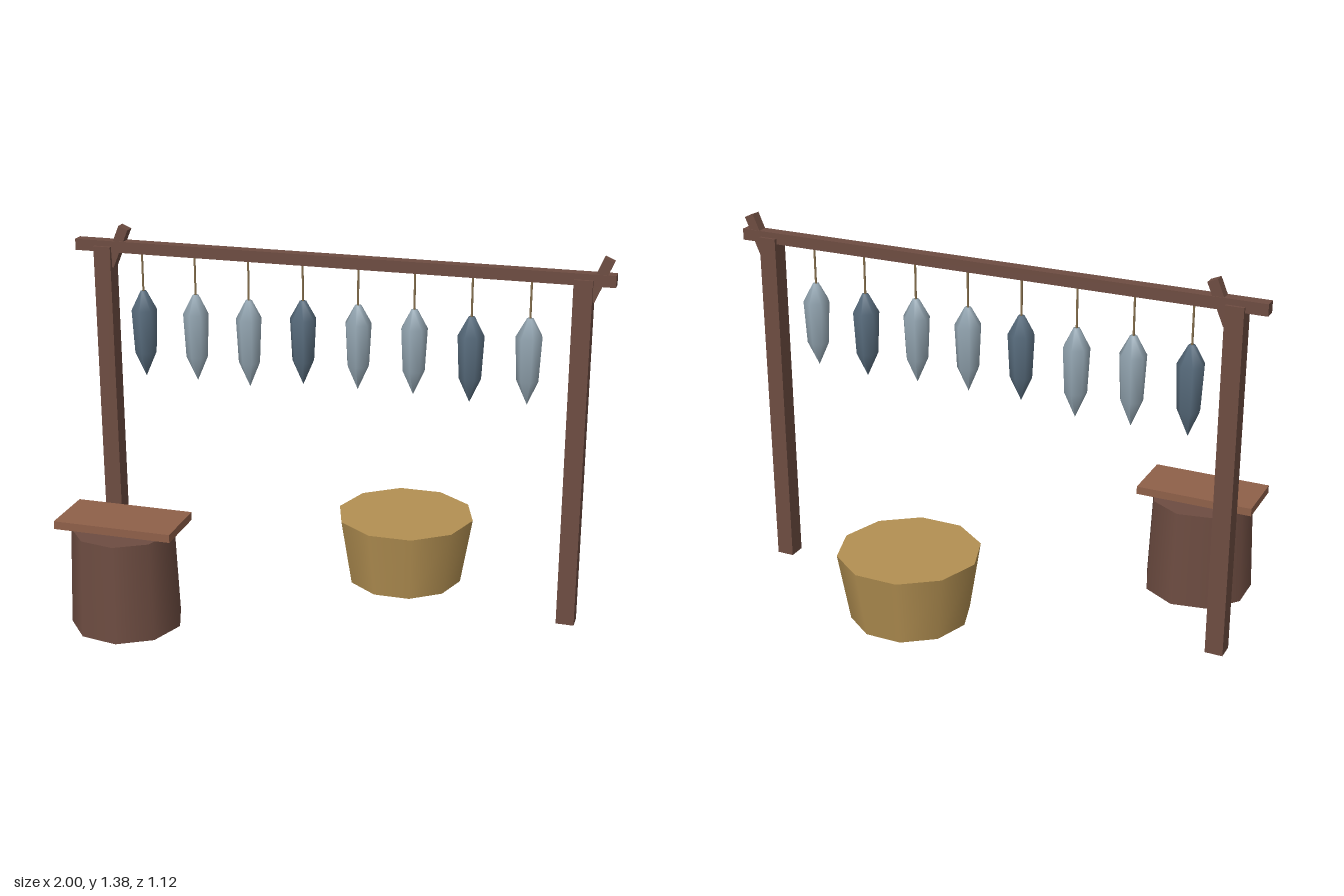
import * as THREE from 'three';

const mat = (name, color, extra = {}) => {
  const m = new THREE.MeshStandardMaterial({ color, ...extra });
  m.name = name;
  return m;
};

export function createModel() {
  const darkWood = mat('dark wood', 0x6d4c41);
  const boardWood = mat('board wood', 0x8f6049);
  const wicker = mat('wicker', 0xb39052);
  const twine = mat('twine', 0x8a7350);
  const paleFish = mat('pale fish', 0x93a5b1);
  const darkFish = mat('dark fish', 0x586c7d);

  const model = new THREE.Group();
  const add = (name, geometry, material, x, y, z, parent = model) => {
    const mesh = new THREE.Mesh(geometry, material);
    mesh.name = name;
    mesh.position.set(x, y, z);
    parent.add(mesh);
    return mesh;
  };

  // Drying rack: two posts, a crossbeam and a leaning peg beside each post
  const rackZ = -0.085;
  const rack = new THREE.Group();
  rack.name = 'dryingRack';
  model.add(rack);
  for (const side of [-1, 1]) {
    const x = side * 0.89;
    add('post', new THREE.BoxGeometry(0.066, 1.3, 0.066), darkWood, x, 0.65, rackZ, rack);
    const peg = add('peg', new THREE.BoxGeometry(0.038, 0.158, 0.038), darkWood, x + 0.052, 1.3, rackZ, rack);
    peg.rotation.z = -0.4;
  }
  add('crossbeam', new THREE.BoxGeometry(2, 0.042, 0.044), darkWood, 0, 1.3, rackZ, rack);

  // Hanging fish: a faceted spindle on a string, with every third one dark
  const profile = [[0, -0.17], [0.041, -0.075], [0.049, 0.09], [0.012, 0.16], [0, 0.16]]
    .map(([r, y]) => new THREE.Vector2(r, y));
  const fishGeometry = new THREE.LatheGeometry(profile, 7);
  const stringGeometry = new THREE.CylinderGeometry(0.004, 0.004, 0.17, 5);
  const heights = [0.975, 0.975, 0.97, 0.99, 0.99, 0.99, 0.98, 0.99];
  heights.forEach((y, i) => {
    const x = -0.743 + i * 0.2075;
    add('string', stringGeometry, twine, x, 1.205, rackZ);
    const fish = add('fish', fishGeometry, i % 3 ? paleFish : darkFish, x, y, rackZ);
    fish.rotation.y = i * 0.7;
    fish.scale.y = i < 3 ? 1.0 : 0.96;
  });

  // Chopping stump with a cutting board above it
  add('stump', new THREE.CylinderGeometry(0.19, 0.205, 0.37, 9, 1, false, Math.PI / 2), darkWood, -0.667, 0.185, 0.357);
  add('cuttingBoard', new THREE.BoxGeometry(0.444, 0.03, 0.22), boardWood, -0.669, 0.395, 0.357);

  // Tapered tub behind the rack
  add('tub', new THREE.CylinderGeometry(0.265, 0.222, 0.26, 10, 1, false, Math.PI / 2), wicker, 0.221, 0.13, -0.312);

  return model;
}
